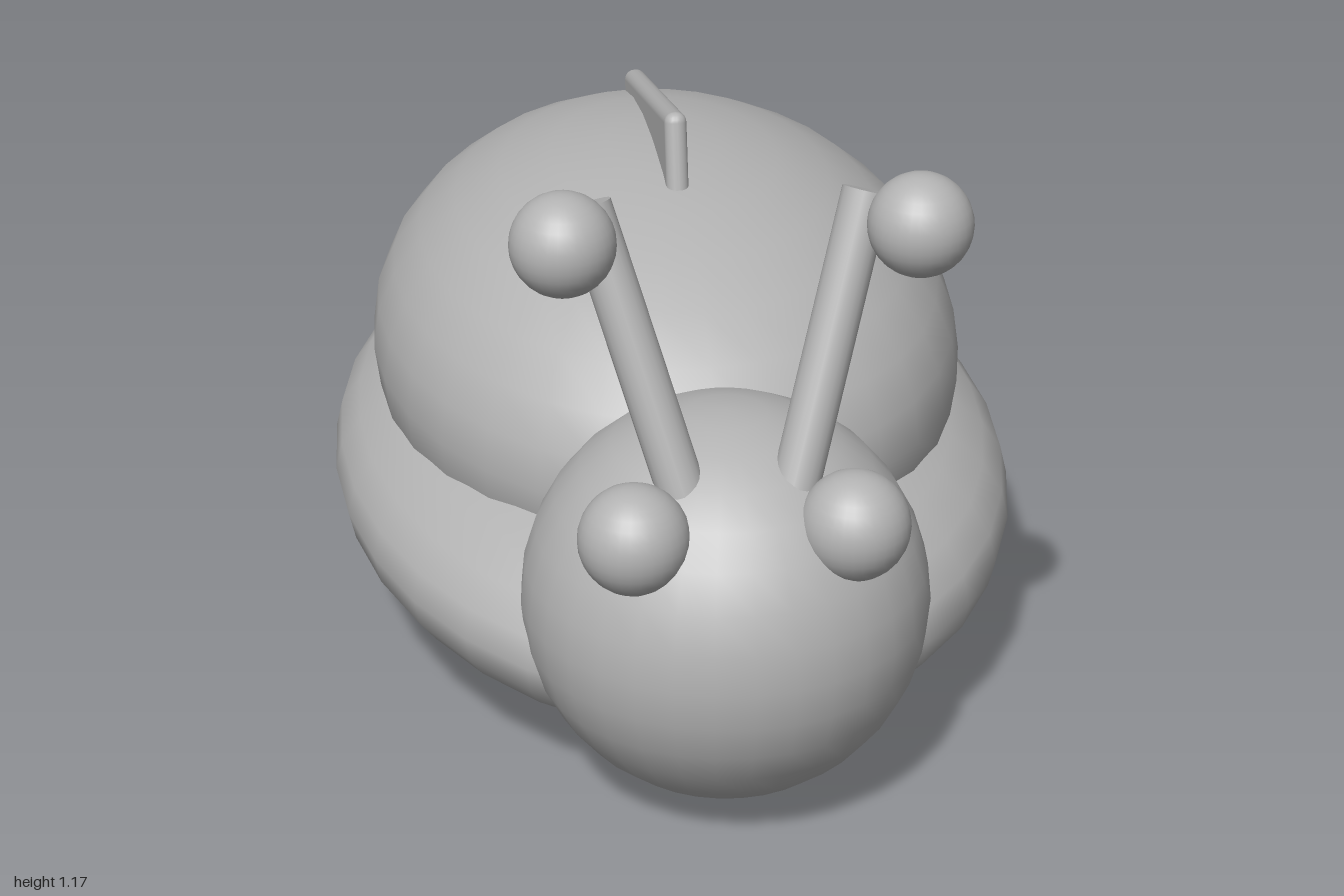
import * as THREE from 'three';
import { RoundedBoxGeometry } from 'three/addons/geometries/RoundedBoxGeometry.js';

export function createModel() {
  const model = new THREE.Group();
  model.name = 'snailCreature';
  const grey = new THREE.MeshStandardMaterial({ color: 0xb3b3b3 });
  grey.name = 'plain grey';

  const add = (name, geometry) => {
    const mesh = new THREE.Mesh(geometry, grey);
    mesh.name = name;
    model.add(mesh);
    return mesh;
  };

  // Ellipsoid given by its centre and half sizes
  const ellipsoid = (name, centre, radii) => {
    const mesh = add(name, new THREE.SphereGeometry(1, 32, 16));
    mesh.position.set(...centre);
    mesh.scale.set(...radii);
    return mesh;
  };
  const ball = (name, centre, r) => ellipsoid(name, centre, [r, r, r]);

  // Flat body, domed shell and round head
  ellipsoid('body', [0, 0.263, -0.07], [0.615, 0.26, 0.93]);
  ellipsoid('shell', [0, 0.48, -0.12], [0.535, 0.385, 0.725]);
  ball('head', [0, 0.359, 0.655], 0.345);

  // Thin rounded fin, tilted so its rear sinks into the shell
  const fin = add('fin', new RoundedBoxGeometry(0.04, 0.2, 0.61, 3, 0.019));
  fin.position.set(0, 0.811, -0.224);
  fin.rotation.x = -0.245;

  // Eyes, stalks and the separate balls in front of the stalk tips
  for (const [side, s] of [['left', 1], ['right', -1]]) {
    ball(side + 'Eye', [s * 0.18, 0.583, 0.858], 0.092);
    ball(side + 'AntennaBall', [s * 0.284, 1.087, 0.81], 0.085);

    const foot = new THREE.Vector3(s * 0.07, 0.55, 0.818);
    const tip = new THREE.Vector3(s * 0.227, 1.08, 0.648);
    const axis = tip.clone().sub(foot);
    const stalk = add(side + 'Antenna', new THREE.CylinderGeometry(0.04, 0.04, axis.length(), 20));
    stalk.position.copy(foot).add(tip).multiplyScalar(0.5);
    stalk.quaternion.setFromUnitVectors(new THREE.Vector3(0, 1, 0), axis.normalize());
  }

  return model;
}
